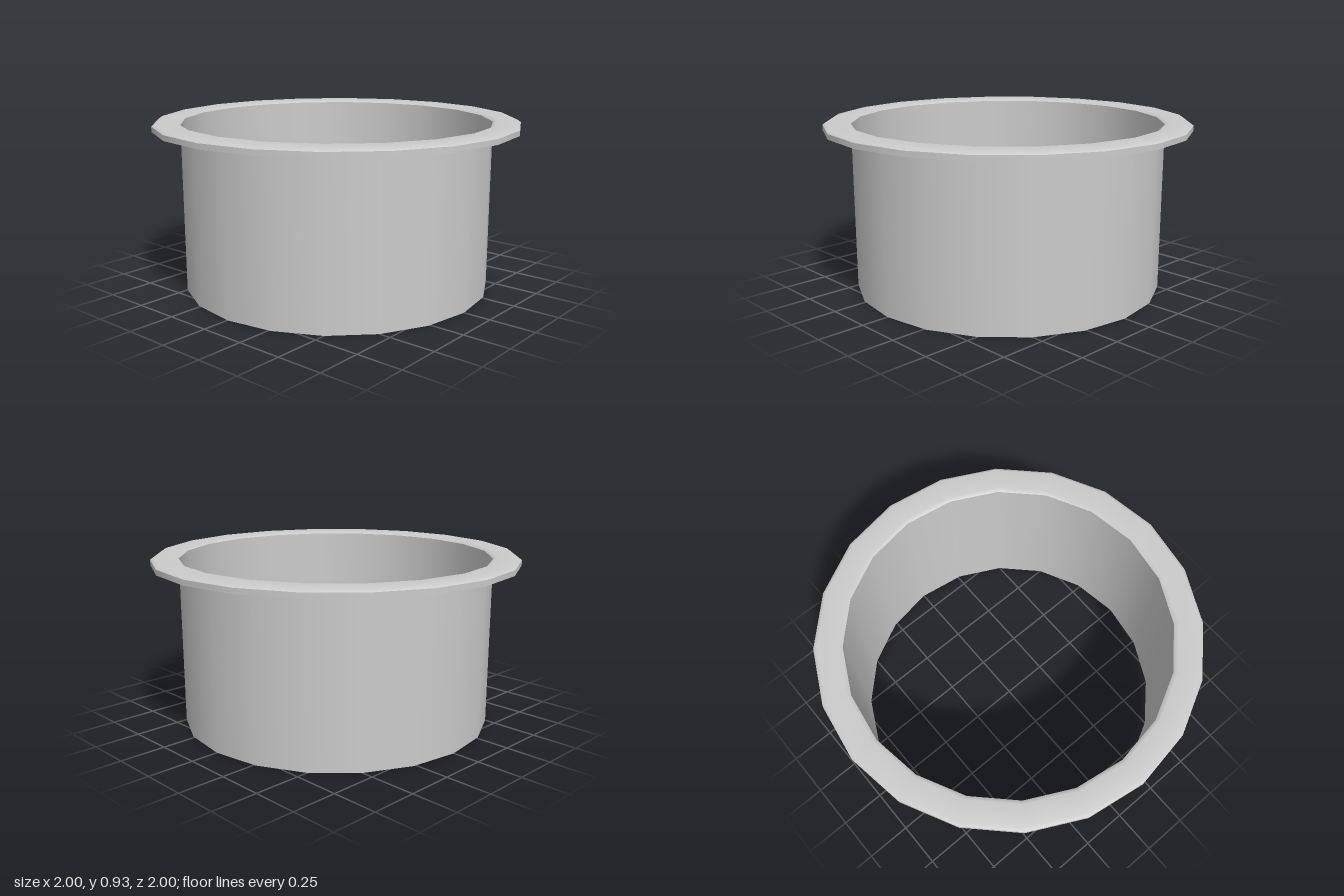
import * as THREE from 'three';

const SIDES = 20;

export function createModel() {
  const group = new THREE.Group();
  const material = new THREE.MeshStandardMaterial({ color: 0xcccccc, side: THREE.DoubleSide });

  // Each part is its own lathe, so the edges between parts stay sharp
  const addRing = (name, profile) => {
    const points = profile.map(([r, y]) => new THREE.Vector2(r, y));
    const mesh = new THREE.Mesh(new THREE.LatheGeometry(points, SIDES), material);
    mesh.name = name;
    group.add(mesh);
  };

  // Open tube
  addRing('tubeWall', [[0.85, 0], [0.85, 0.916]]);
  // Short skirt around the flange, hollow underneath
  addRing('flangeLip', [[1, 0.885], [1, 0.914]]);
  // Softly bevelled top of the flange
  addRing('flangeTop', [[1, 0.914], [0.98, 0.928], [0.87, 0.928], [0.85, 0.916]]);

  return group;
}
